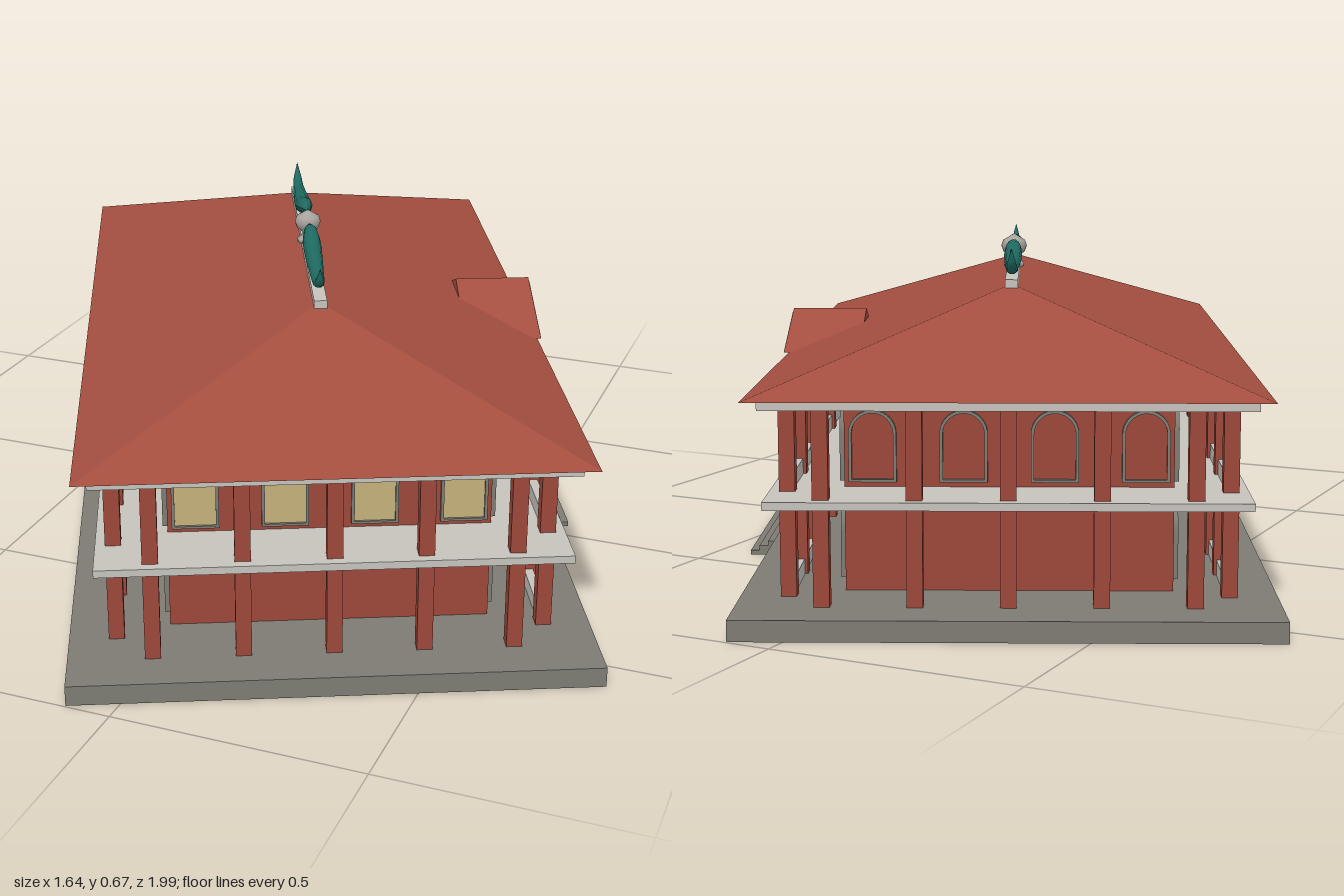
import * as THREE from 'three';

const paint = (name, color, extra = {}) => Object.assign(new THREE.MeshStandardMaterial({ color, ...extra }), { name });

export function createModel() {
  const brick = paint('brick red', 0x9c483a);
  const tile = paint('roof red', 0xa34e3f);
  const stone = paint('dark stone', 0x7d7b73);
  const plaster = paint('light plaster', 0xc6c3bd);
  const glass = paint('tan glass', 0xc4b07a);
  const teal = paint('teal', 0x1f6b62);
  const silver = paint('finial grey', 0xa8a29c);

  const model = new THREE.Group();
  const hall = new THREE.Group();
  hall.name = 'hall';
  hall.rotation.y = 0.435; // the building stands turned on its plot
  model.add(hall);

  const add = (name, geometry, material, x = 0, y = 0, z = 0, parent = hall) => {
    const mesh = new THREE.Mesh(geometry, material);
    mesh.name = name;
    mesh.position.set(x, y, z);
    parent.add(mesh);
    return mesh;
  };
  // box given by its bottom and top heights
  const box = (name, material, w, y0, y1, d, x = 0, z = 0) =>
    add(name, new THREE.BoxGeometry(w, y1 - y0, d), material, x, (y0 + y1) / 2, z);

  const BAY = 0.171, SIDE_X = 0.412, END_Z = 0.762, WALL_X = 0.31, WALL_Z = 0.65;
  const floors = [[0.04, 0.225], [0.24, 0.41]];

  // plinth, entrance steps and floors
  box('plinth', stone, 1.006, 0, 0.04, 1.731);
  for (let i = 0; i < 3; i++) {
    const out = 0.0185 * (i + 1);
    box('entranceStep', stone, out, 0, 0.03 - 0.01 * i, 0.42, 0.503 + out / 2, 0);
  }
  box('balconyFloor', plaster, 0.892, 0.225, 0.24, 1.592);
  box('cornice', plaster, 0.9, 0.41, 0.428, 1.62);

  // inner walls
  for (const [y0, y1] of floors) box('walls', brick, WALL_X * 2, y0, y1, WALL_Z * 2);

  // columns, capitals and parapets of the gallery
  for (const [level, [y0, y1]] of floors.entries()) {
    for (const side of [-1, 1]) {
      for (let k = -4; k <= 4; k++) {
        box('sideColumn', brick, 0.03, y0, y1, 0.03, side * SIDE_X, k * BAY);
        box('capital', plaster, 0.036, y1 - 0.014, y1, 0.062, side * SIDE_X, k * BAY);
      }
      for (let k = -4; k < 4; k++) {
        const entrance = level === 0 && side === 1 && (k === -1 || k === 0);
        if (!entrance) box('parapet', plaster, 0.018, y0, y0 + 0.03, BAY - 0.03, side * SIDE_X, (k + 0.5) * BAY);
      }
      for (let k = -2; k <= 2; k++) box('endColumn', brick, 0.03, y0, y1, 0.03, k * BAY, side * END_Z);
    }
  }

  // arched windows
  const arch = (Type, r, h, base) => {
    const s = new Type();
    s.moveTo(-r, base);
    s.lineTo(r, base);
    s.lineTo(r, h - r);
    s.absarc(0, h - r, r, 0, Math.PI, false);
    s.closePath();
    return s;
  };
  const frameShape = arch(THREE.Shape, 0.045, 0.137, 0);
  frameShape.holes.push(arch(THREE.Path, 0.039, 0.131, 0.005));
  const frameGeo = new THREE.ExtrudeGeometry(frameShape, { depth: 0.009, bevelEnabled: false, curveSegments: 10 });
  const paneGeo = new THREE.ExtrudeGeometry(arch(THREE.Shape, 0.041, 0.133, 0.002), { depth: 0.004, bevelEnabled: false, curveSegments: 10 });
  const windowAt = (x, y, z, turn, glazed = true) => {
    const g = new THREE.Group();
    g.name = 'window';
    g.position.set(x, y, z);
    g.rotation.y = turn;
    add('windowFrame', frameGeo, stone, 0, 0, 0, g);
    if (glazed) add('windowPane', paneGeo, glass, 0, 0, 0, g);
    hall.add(g);
  };
  for (const y of [0.063, 0.25]) {
    for (let k = -4; k < 4; k++) {
      for (const side of [-1, 1]) windowAt(side * WALL_X, y, (k + 0.5) * BAY, side * Math.PI / 2);
    }
  }
  for (let k = -2; k < 2; k++) {
    windowAt((k + 0.5) * BAY, 0.25, WALL_Z, 0);
    windowAt((k + 0.5) * BAY, 0.25, -WALL_Z, Math.PI, false);
  }

  // hipped roof: a box whose top is drawn in to the ridge
  const roofGeo = new THREE.BoxGeometry(0.956, 0.167, 1.66).toNonIndexed();
  const p = roofGeo.attributes.position;
  for (let i = 0; i < p.count; i++) {
    if (p.getY(i) > 0) p.setXYZ(i, Math.sign(p.getX(i)) * 0.004, p.getY(i), Math.sign(p.getZ(i)) * 0.376);
  }
  roofGeo.computeVertexNormals();
  add('hippedRoof', roofGeo, tile, 0, 0.5115, 0);
  box('ridgeCap', plaster, 0.026, 0.588, 0.606, 0.78);

  // gable over the entrance
  const triangle = (half, h) => new THREE.Shape([[-half, 0], [half, 0], [0, h]].map(([x, y]) => new THREE.Vector2(x, y)));
  const gable = (name, half, h, depth, material, x) => {
    const geo = new THREE.ExtrudeGeometry(triangle(half, h), { depth, bevelEnabled: false });
    add(name, geo, material, x, 0.431, 0).rotation.y = Math.PI / 2;
  };
  gable('gableRoof', 0.178, 0.075, 0.16, tile, 0.325);
  gable('gableFace', 0.152, 0.066, 0.004, plaster, 0.484);

  // curved ridge horns: tapered tubes rising to a tip
  const horn = () => {
    const path = new THREE.CatmullRomCurve3([
      [0.045, 0.655], [0.09, 0.65], [0.16, 0.634], [0.25, 0.626], [0.33, 0.624], [0.362, 0.637], [0.37, 0.652], [0.378, 0.668],
    ].map(([z, y]) => new THREE.Vector3(0, y, z)));
    const radii = [0, 0.013, 0.018, 0.019, 0.018, 0.017, 0.015, 0.014, 0.012, 0.009, 0];
    const steps = 40, sides = 10;
    const geo = new THREE.TubeGeometry(path, steps, 1, sides, false);
    const pos = geo.attributes.position, v = new THREE.Vector3();
    for (let i = 0; i < pos.count; i++) {
      const t = Math.floor(i / (sides + 1)) / steps;
      const f = t * (radii.length - 1), a = Math.min(Math.floor(f), radii.length - 2);
      const r = THREE.MathUtils.lerp(radii[a], radii[a + 1], f - a);
      const c = path.getPointAt(t);
      v.fromBufferAttribute(pos, i).sub(c).multiplyScalar(r).add(c);
      pos.setXYZ(i, v.x, v.y, v.z);
    }
    geo.computeVertexNormals();
    return geo;
  };
  const hornGeo = horn();
  add('ridgeHorn', hornGeo, teal);
  add('ridgeHorn', hornGeo, teal).rotation.y = Math.PI;

  // round finial in the middle of the ridge
  const profile = [[0, 0.6], [0.022, 0.6], [0.022, 0.608], [0.011, 0.615], [0.012, 0.623], [0.023, 0.632],
    [0.028, 0.645], [0.024, 0.657], [0.012, 0.664], [0.006, 0.668], [0, 0.671]];
  add('finial', new THREE.LatheGeometry(profile.map(([x, y]) => new THREE.Vector2(x, y)), 16), silver);

  return model;
}
